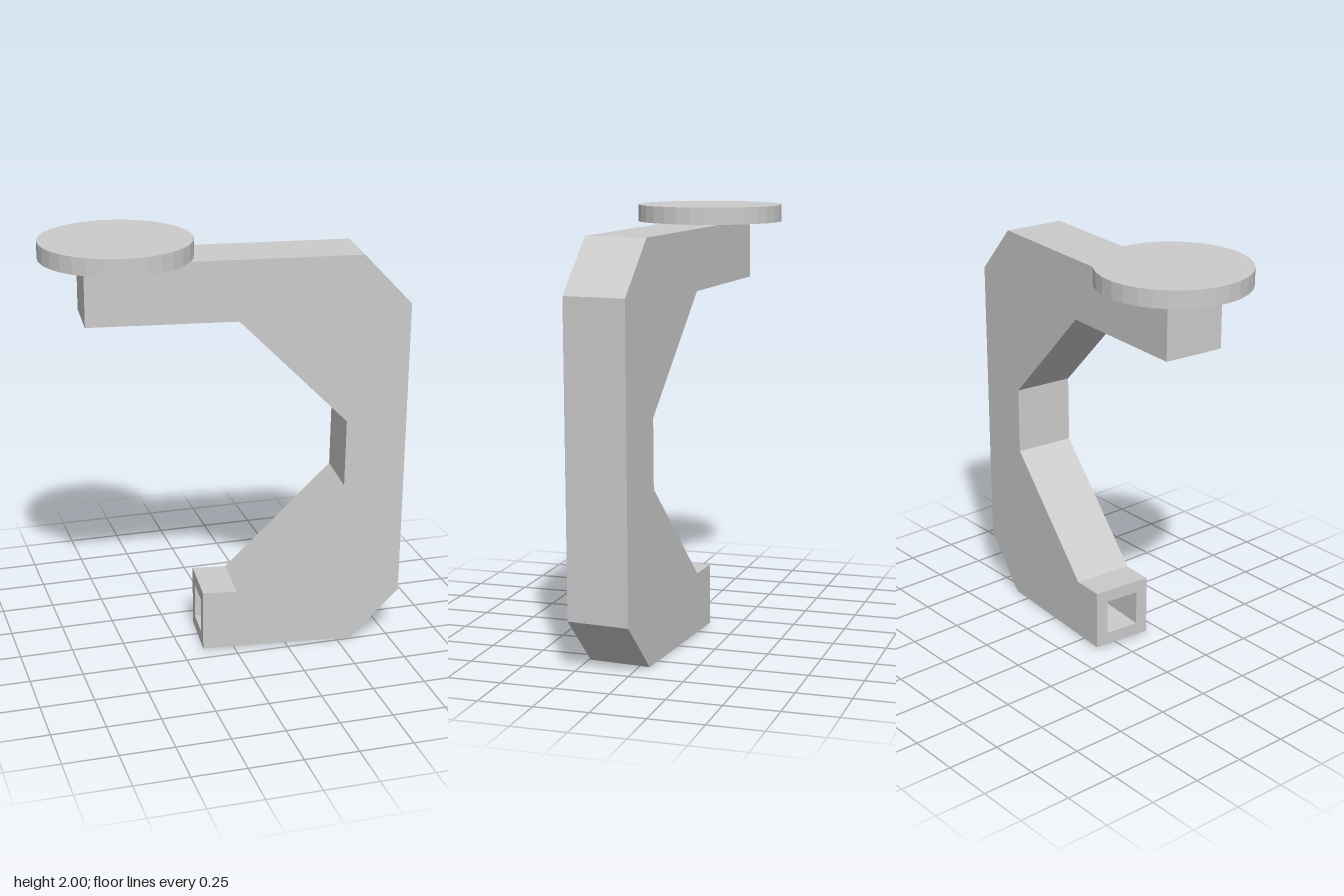
import * as THREE from 'three';
import { mergeGeometries } from 'three/addons/utils/BufferGeometryUtils.js';

const BACK = -0.103, FRONT = 0.188, WIDTH = FRONT - BACK, MID = (FRONT + BACK) / 2;

// Bracket side profile, counter-clockwise
const PROFILE = [
  [-0.133, 0.01], [0.59, 0], [0.821, 0.24], [0.836, 1.67], [0.61, 1.91], [-0.655, 1.92],
  [-0.655, 1.64], [0.038, 1.63], [0.545, 1.12], [0.54, 0.80], [0.028, 0.295], [-0.133, 0.30],
].map(([x, y]) => new THREE.Vector2(x, y));

const BOLT_X = -0.272, BOLT_R = 0.022, SOCKET = 0.17;

// Square hole outline
function squareHole(cx, cy, s) {
  const h = s / 2;
  return new THREE.Path([[-h, -h], [-h, h], [h, h], [h, -h]].map(([x, y]) => new THREE.Vector2(cx + x, cy + y)));
}

function roundHole(cx, cy, r) {
  return new THREE.Path().absarc(cx, cy, r, 0, Math.PI * 2, true);
}

// Flat wall across the bracket width, standing on the profile edge p-q
function edgePanel(p, q, hole) {
  const len = p.distanceTo(q);
  const shape = new THREE.Shape([[0, 0], [len, 0], [len, WIDTH], [0, WIDTH]].map(a => new THREE.Vector2(...a)));
  if (hole) shape.holes.push(hole(len));
  const e = new THREE.Vector3(q.x - p.x, q.y - p.y, 0).normalize();
  const z = new THREE.Vector3(0, 0, 1);
  const m = new THREE.Matrix4().makeBasis(e, z, e.clone().cross(z)).setPosition(p.x, p.y, BACK);
  return new THREE.ShapeGeometry(shape, 8).applyMatrix4(m);
}

export function createModel() {
  const model = new THREE.Group();
  const grey = new THREE.MeshStandardMaterial({ color: 0xcccccc, flatShading: true });
  const inner = new THREE.MeshStandardMaterial({ color: 0xcccccc, flatShading: true, side: THREE.DoubleSide });
  const add = (parent, name, geometry, material = grey) => {
    const mesh = new THREE.Mesh(geometry, material);
    mesh.name = name;
    parent.add(mesh);
    return mesh;
  };

  // C-shaped bracket, turned slightly about the vertical
  const bracket = new THREE.Group();
  bracket.name = 'bracket';
  bracket.rotation.y = -0.093;
  model.add(bracket);

  const shape = new THREE.Shape(PROFILE);
  const sides = [
    new THREE.ShapeGeometry(shape).translate(0, 0, FRONT),
    new THREE.ShapeGeometry(shape).rotateY(Math.PI).scale(1, 1, 1),
  ];
  // Back face: same profile with the winding reversed
  sides[1] = new THREE.ShapeGeometry(new THREE.Shape(PROFILE.map(p => new THREE.Vector2(-p.x, p.y))))
    .rotateY(Math.PI).translate(0, 0, BACK);

  // Walls, with openings for the bolt (arm top and underside) and the socket (foot end)
  const holes = {
    4: () => roundHole(0.61 - BOLT_X, WIDTH / 2, BOLT_R),
    6: () => roundHole(BOLT_X + 0.655, WIDTH / 2, BOLT_R),
    11: len => squareHole(len / 2, WIDTH / 2, SOCKET),
  };
  const walls = PROFILE.map((p, i) => edgePanel(p, PROFILE[(i + 1) % PROFILE.length], holes[i]));
  add(bracket, 'bracketBody', mergeGeometries([...sides, ...walls]));

  // Bolt hole lining through the upper arm
  add(bracket, 'boltHole', new THREE.CylinderGeometry(BOLT_R, BOLT_R, 0.28, 16, 1, true), inner)
    .position.set(BOLT_X, 1.776, MID);

  // Blind square socket in the foot: four walls and an end
  const depth = 0.5, h = SOCKET / 2;
  const socketParts = [new THREE.PlaneGeometry(SOCKET, SOCKET).rotateY(-Math.PI / 2).translate(depth, 0, 0)];
  for (let i = 0; i < 4; i++) {
    socketParts.push(new THREE.PlaneGeometry(depth, SOCKET).translate(depth / 2, 0, -h).rotateX(i * Math.PI / 2));
  }
  add(bracket, 'footSocket', mergeGeometries(socketParts), inner).position.set(-0.133, 0.155, MID);

  // Round plate on the upper arm
  add(model, 'topDisc', new THREE.CylinderGeometry(0.348, 0.348, 0.08, 32)).position.set(-0.497, 1.96, 0);

  return model;
}
